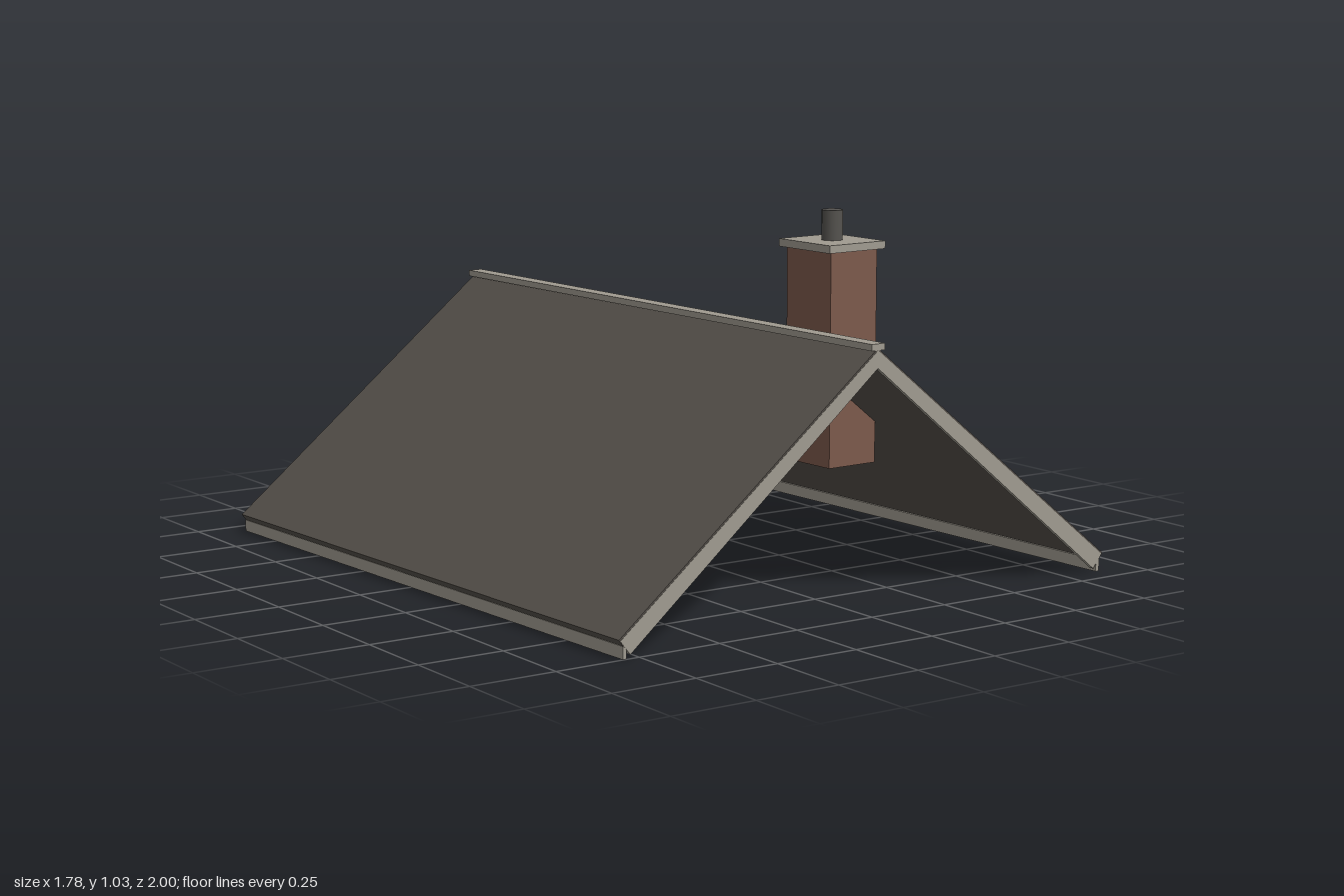
import * as THREE from 'three';

const paint = (name, color) => {
  const m = new THREE.MeshStandardMaterial({ color });
  m.name = name;
  return m;
};

export function createModel() {
  const slate = paint('slate', 0x55504a);
  const trim = paint('trim', 0xa09b90);
  const brick = paint('brick', 0x7c5a4c);
  const pot = paint('pot', 0x55534f);
  const metal = paint('metal', 0x8a8882);

  const root = new THREE.Group();
  root.name = 'roof';
  // The whole roof is turned slightly about the vertical
  const house = new THREE.Group();
  house.name = 'roofAssembly';
  house.rotation.y = 0.04;
  root.add(house);

  const add = (name, geometry, material, x = 0, y = 0, z = 0) => {
    const mesh = new THREE.Mesh(geometry, material);
    mesh.name = name;
    mesh.position.set(x, y, z);
    house.add(mesh);
    return mesh;
  };
  const box = (name, material, w, h, d, x, y, z) =>
    add(name, new THREE.BoxGeometry(w, h, d), material, x, y, z);

  // Extrudes an (x, y) outline along z, centred on z
  const extrude = (name, points, side, depth, z, material) => {
    const shape = new THREE.Shape(points.map(([x, y]) => new THREE.Vector2(x * side, y)));
    const g = new THREE.ExtrudeGeometry(shape, { depth, bevelEnabled: false });
    g.translate(0, 0, -depth / 2);
    add(name, g, material, 0, 0, z);
  };

  const halfLength = 0.965;
  const slab = [[0, 0.718], [0.85, 0.052], [0.835, 0.032], [0, 0.686]];
  const barge = [[0, 0.712], [0.846, 0.049], [0.815, 0.01], [0.815, 0.026], [0, 0.664]];
  barge.splice(3, 1);

  for (const side of [-1, 1]) {
    const label = side > 0 ? 'left' : 'right';
    extrude(label + 'RoofSlope', slab, side, halfLength * 2, 0, slate);
    box(label + 'Fascia', trim, 0.012, 0.034, halfLength * 2, side * 0.832, 0.017, 0);
    for (const end of [-1, 1]) {
      extrude(label + (end > 0 ? 'Front' : 'Back') + 'BargeBoard', barge, side,
        0.014, end * (halfLength - 0.006), trim);
    }
  }

  // Ridge cap
  box('ridgeCap', trim, 0.045, 0.018, halfLength * 2 + 0.004, 0, 0.721, 0);

  // Chimney stack, capping slab and pot
  const cx = 0.241, cz = 0.485;
  box('chimneyStack', brick, 0.167, 0.61, 0.192, cx, 0.62, cz);
  box('chimneyCap', trim, 0.202, 0.022, 0.222, cx, 0.934, cz);
  add('chimneyPot', new THREE.CylinderGeometry(0.03, 0.03, 0.085, 16), pot, cx, 0.9875, cz);

  // Vent pipe on the left slope
  add('ventPipe', new THREE.CylinderGeometry(0.011, 0.011, 0.16, 10), metal, 0.338, 0.51, -0.442);

  return root;
}
